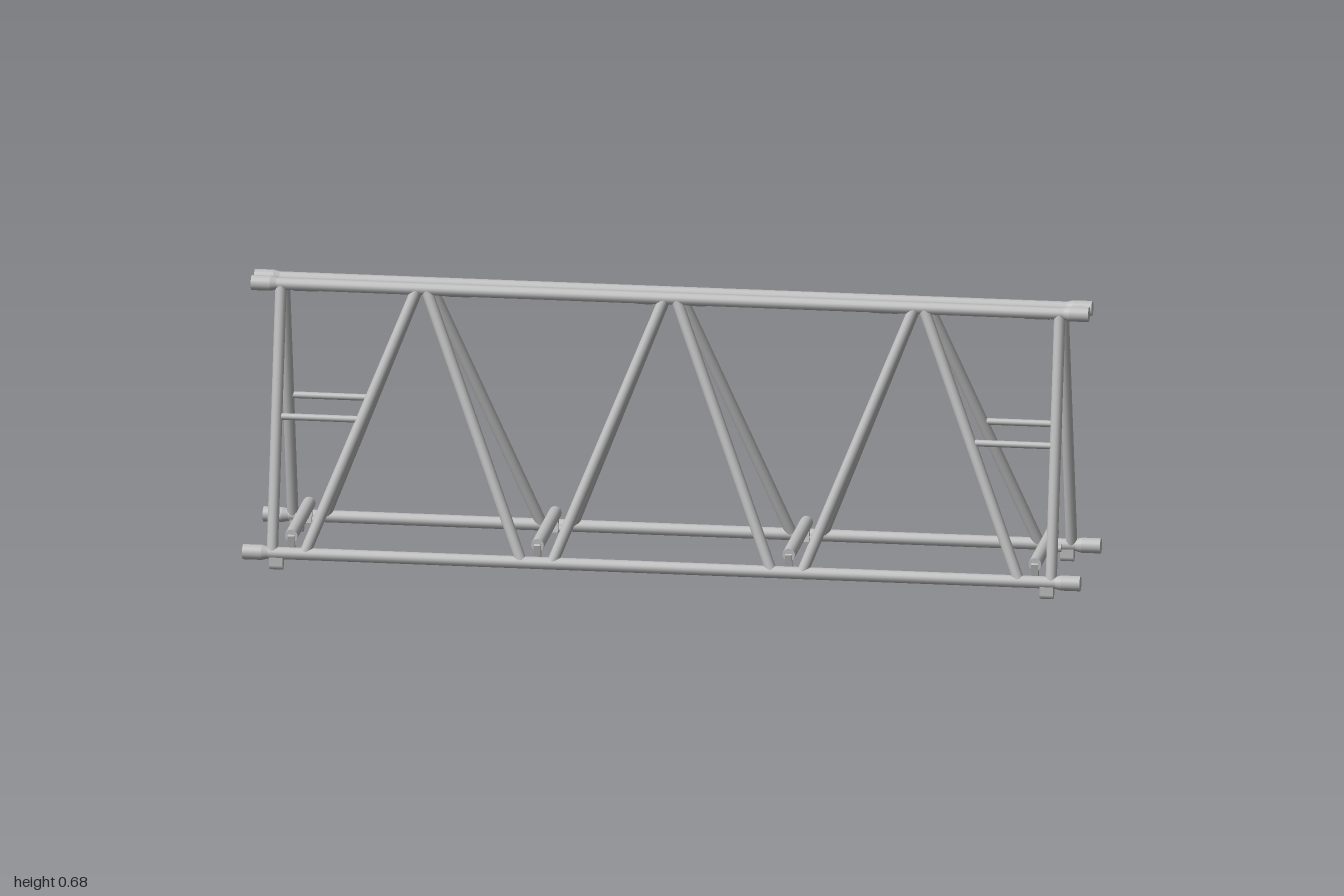
import * as THREE from 'three';

export function createModel() {
  const model = new THREE.Group();
  const steel = new THREE.MeshStandardMaterial({ color: 0xbdbdbd });
  steel.name = 'steel grey';
  const up = new THREE.Vector3(0, 1, 0);

  function add(name, geometry) {
    const mesh = new THREE.Mesh(geometry, steel);
    mesh.name = name;
    model.add(mesh);
    return mesh;
  }

  // Round bar between two points, optionally tapered
  function tube(name, from, to, r, r2 = r, sides = 14) {
    const a = new THREE.Vector3(...from), b = new THREE.Vector3(...to);
    const dir = b.clone().sub(a);
    const mesh = add(name, new THREE.CylinderGeometry(r2, r, dir.length(), sides));
    mesh.position.copy(a).add(b).multiplyScalar(0.5);
    mesh.quaternion.setFromUnitVectors(up, dir.normalize());
    return mesh;
  }

  function box(name, w, h, d, x, y, z, tilt = 0) {
    const mesh = add(name, new THREE.BoxGeometry(w, h, d));
    mesh.position.set(x, y, z);
    mesh.rotation.x = tilt;
    return mesh;
  }

  const yLow = 0.04, yTop = 0.661, zLow = 0.17, zTop = 0.027;
  const sideZ = (y) => zLow + (zTop - zLow) * (y - yLow) / (yTop - yLow);

  for (const s of [1, -1]) {
    // Long chords with thicker couplers at the ends
    for (const [name, y, z] of [['bottom', yLow, zLow], ['top', yTop, zTop]]) {
      tube(name + 'Chord', [-0.96, y, s * z], [0.96, y, s * z], 0.0145);
      for (const e of [1, -1]) {
        tube(name + 'Coupler', [e * 0.955, y, s * z], [e, y, s * z], 0.018, 0.018, 24);
        tube(name + 'CouplerTaper', [e * 0.94, y, s * z], [e * 0.955, y, s * z], 0.0145, 0.018, 24);
      }
    }
    for (const e of [1, -1]) {
      // End posts and zigzag braces lie in the leaning side plane
      tube('endPost', [e * 0.93, yLow, s * zLow], [e * 0.93, yTop, s * zTop], 0.0135);
      for (const [low, high] of [[0.853, 0.605], [0.335, 0.583], [0.262, 0.014]]) {
        tube('brace', [e * low, yLow, s * zLow], [e * high, yTop, s * zTop], 0.0135);
      }
      // Thin rung from end post to the first brace
      const zr = s * sideZ(0.355);
      tube('rung', [e * 0.93, 0.355, zr], [e * 0.735, 0.355, zr], 0.008, 0.008, 10);

      // Rounded foot under the bottom chord
      box('foot', 0.032, 0.025, 0.022, e * 0.92, 0.0235, s * zLow);
      tube('footTip', [e * 0.92 - 0.016, 0.011, s * zLow], [e * 0.92 + 0.016, 0.011, s * zLow], 0.011);
    }
  }

  // Cross bars with hinge lugs at both ends
  for (const x of [-0.888, -0.3, 0.3, 0.888]) {
    tube('crossBar', [x, 0.077, -0.148], [x, 0.077, 0.148], 0.0155, 0.0155, 12);
    for (const s of [1, -1]) {
      box('hingeLug', 0.016, 0.05, 0.012, x, 0.055, s * 0.144, -s * -0.25);
      tube('hingePin', [x - 0.02, 0.036, s * 0.15], [x + 0.02, 0.036, s * 0.15], 0.009, 0.009, 12);
    }
  }

  // Hinges joining the two top chords
  for (const e of [1, -1]) {
    for (const [x, w] of [[0.873, 0.06], [0.51, 0.06], [0.063, 0.035]]) {
      tube('topHinge', [e * x - w / 2, 0.649, 0], [e * x + w / 2, 0.649, 0], 0.012, 0.012, 12);
      for (const s of [1, -1]) {
        box('topHingeArm', w * 0.8, 0.012, 0.022, e * x, 0.654, s * 0.012, -s * 0.4);
      }
    }
  }

  return model;
}
